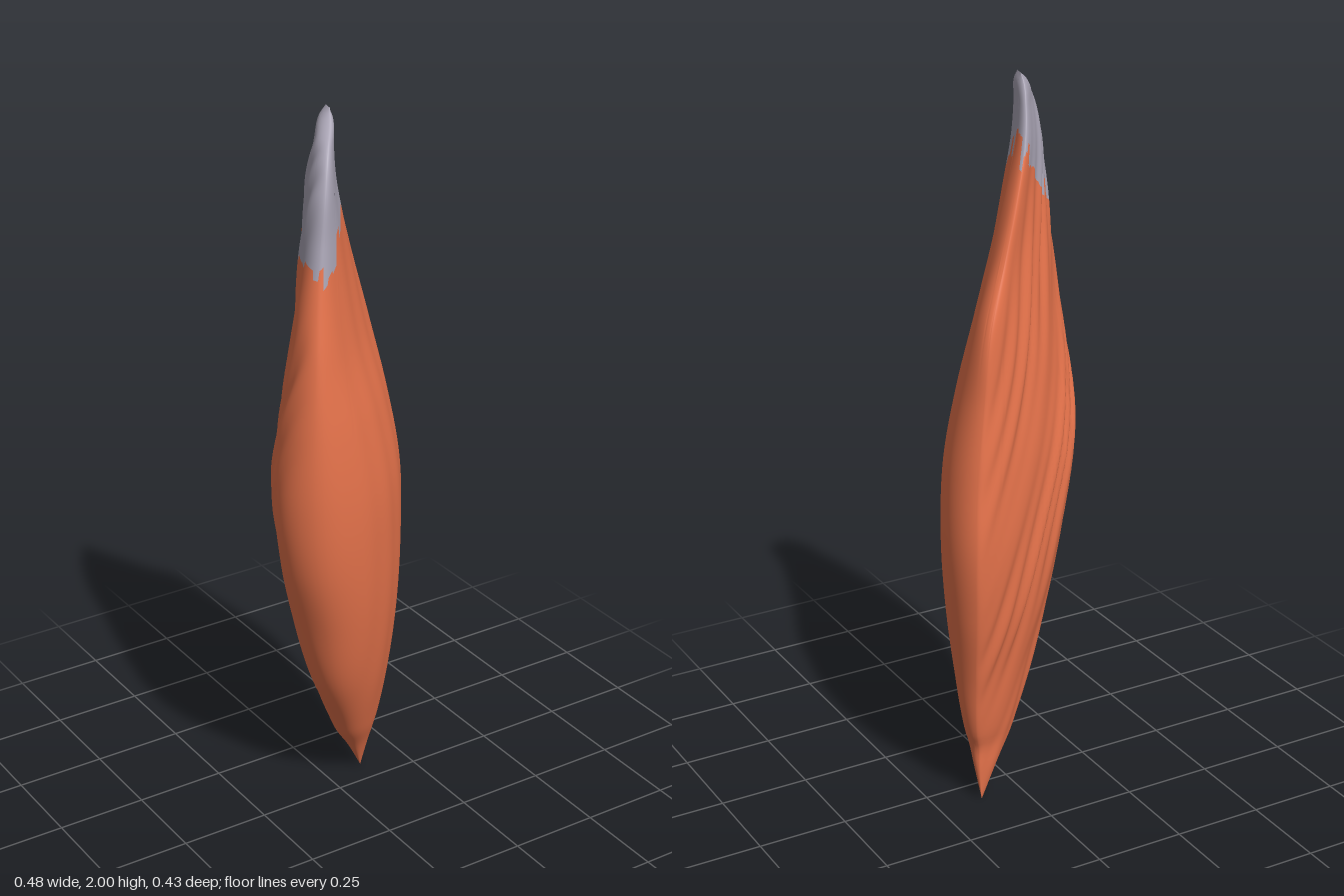
import * as THREE from 'three';

// Cross-sections from base to tip. U runs along the width, W through the thickness:
// y, right edge u, left edge u, right edge w, left edge w, front w, back w
const SECTIONS = [
  [0.00, 0.132, 0.142, 0.03, 0.03, 0.03, 0.03],
  [0.10, 0.07, 0.155, 0.025, 0.033, 0.055, 0.0],
  [0.17, 0.015, 0.16, 0.02, 0.033, 0.075, -0.02],
  [0.21, -0.01, 0.178, 0.02, 0.033, 0.085, -0.03],
  [0.40, -0.122, 0.222, 0.008, 0.022, 0.12, -0.07],
  [0.60, -0.195, 0.268, 0.003, 0.006, 0.143, -0.11],
  [0.80, -0.255, 0.293, -0.012, -0.002, 0.152, -0.135],
  [1.00, -0.282, 0.281, -0.018, -0.004, 0.147, -0.147],
  [1.20, -0.282, 0.258, -0.012, -0.014, 0.115, -0.13],
  [1.40, -0.265, 0.235, -0.007, -0.025, 0.067, -0.105],
  [1.56, -0.238, 0.165, -0.008, -0.042, 0.04, -0.092],
  [1.70, -0.212, 0.115, -0.005, -0.058, 0.02, -0.083],
  [1.83, -0.187, 0.065, 0.0, -0.066, 0.002, -0.074],
  [1.92, -0.138, 0.025, -0.004, -0.058, -0.006, -0.058],
  [1.98, -0.064, -0.004, -0.014, -0.044, -0.014, -0.046],
  [2.00, -0.04, -0.015, -0.018, -0.034, -0.026, -0.026],
];
const sections = new THREE.CubicInterpolant(
  SECTIONS.map((r) => r[0]), SECTIONS.flatMap((r) => r.slice(1)), 6);
const COLUMNS = 160;

// Point on the surface at ring angle t and height y
function surfacePoint(t, y) {
  const [u0, u1, e0, e1, front, back] = sections.evaluate(y);
  const s = Math.cos(t), k = Math.sin(t);
  const u = THREE.MathUtils.lerp(u0, u1, (s + 1) / 2);
  const edge = THREE.MathUtils.lerp(e0, e1, (s + 1) / 2);
  const mid = (e0 + e1) / 2;
  const fade = Math.min(1, (u1 - u0) / 0.4) * Math.abs(k);
  let w;
  if (k >= 0) {
    // Smooth, evenly rounded front with faint streaks
    w = edge + (front - mid) * k + 0.0015 * fade * Math.sin(60 * (u + 0.1 * y));
  } else {
    // Back is fullest towards one side and carries broken, slanting furrows
    w = edge + (mid - back) * k * (0.77 - 0.36 * s) / 0.83;
    const phase = u + 0.3 * y;
    const broken = 0.5 + 0.5 * Math.sin(9 * y + 17 * u);
    w += fade * (0.006 * broken * Math.sin(105 * phase + 2 * Math.sin(6 * y)) + 0.003 * Math.sin(47 * phase + 4 * y));
  }
  const c = Math.SQRT1_2;
  return [(u + w) * c, y, (w - u) * c];
}

// Jagged, slanting border between the coat and the pale tip
function border(i) {
  const t = (i / COLUMNS) * Math.PI * 2;
  const step = Math.floor(i / 5);
  const jag = Math.abs(Math.sin(step * 12.9898) * 437.58) % 1;
  const slant = THREE.MathUtils.lerp(1.61, 1.82, (Math.cos(t) + 1) / 2);
  return slant + 0.045 * Math.max(0, Math.sin(t)) + (jag - 0.5) * 0.09;
}

// Skin between two heights, each given per column
function skin(name, color, rows, low, high) {
  const positions = [], index = [];
  for (let j = 0; j <= rows; j++) {
    for (let i = 0; i < COLUMNS; i++) {
      const y = THREE.MathUtils.lerp(low(i), high(i), j / rows);
      positions.push(...surfacePoint((i / COLUMNS) * Math.PI * 2, y));
      if (j === rows) continue;
      const a = j * COLUMNS + i, b = j * COLUMNS + (i + 1) % COLUMNS;
      index.push(a, a + COLUMNS, b, b, a + COLUMNS, b + COLUMNS);
    }
  }
  const geometry = new THREE.BufferGeometry();
  geometry.setAttribute('position', new THREE.Float32BufferAttribute(positions, 3));
  geometry.setIndex(index);
  geometry.computeVertexNormals();
  const mesh = new THREE.Mesh(geometry, new THREE.MeshStandardMaterial({ color }));
  mesh.name = name;
  return mesh;
}

export function createModel() {
  const group = new THREE.Group();
  group.name = 'furryTail';
  group.add(skin('tailCoat', 0xe8744c, 100, () => 0, border));
  group.add(skin('tailTip', 0xaaa5b5, 30, border, () => 2));
  return group;
}
